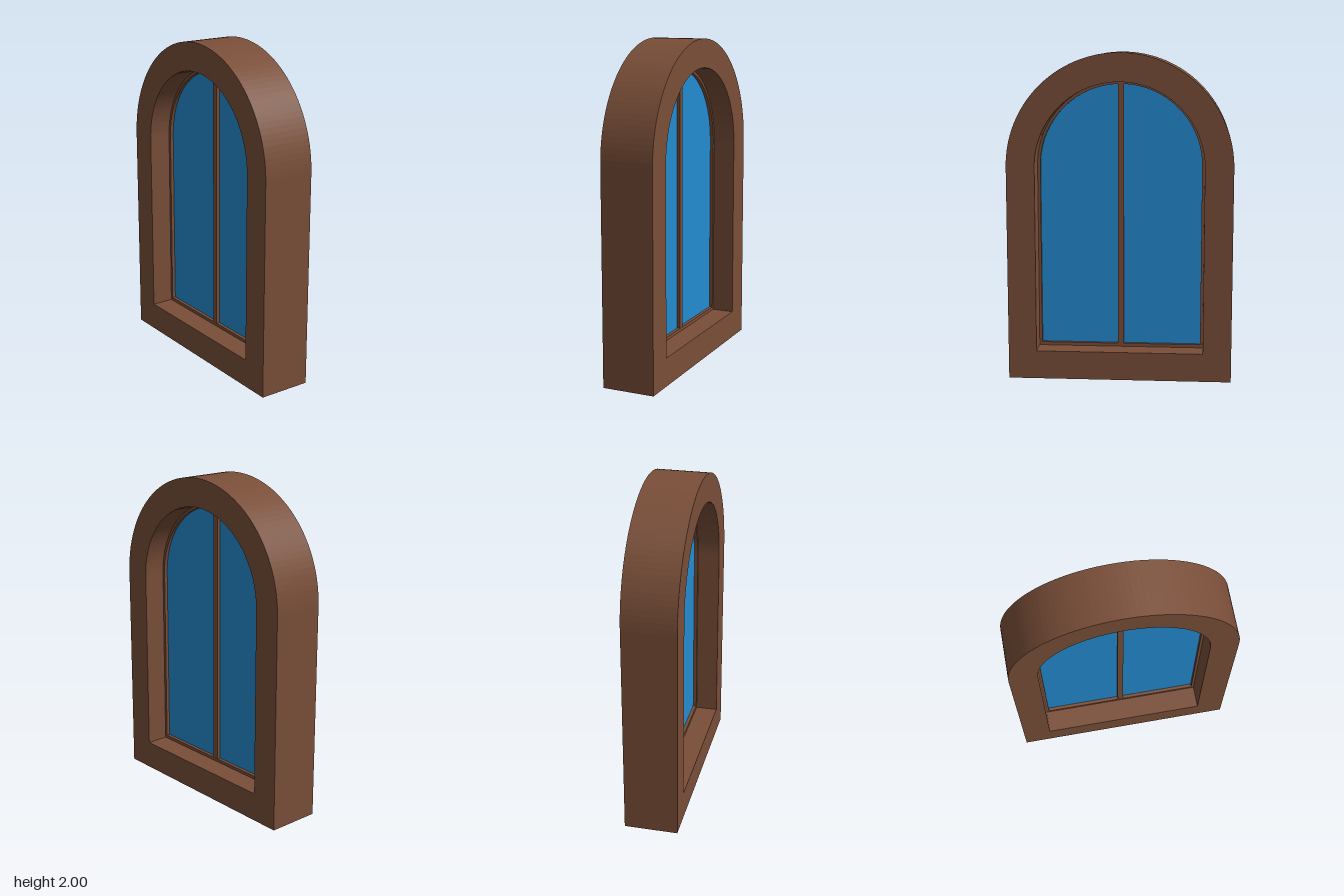
import * as THREE from 'three';

const SPRING = 1.315; // height where the arches begin

// Closed outline: straight sides topped by a half circle
function archPoints(halfWidth, bottom) {
  const shape = new THREE.Shape();
  shape.moveTo(-halfWidth, bottom);
  shape.lineTo(halfWidth, bottom);
  shape.lineTo(halfWidth, SPRING);
  shape.absarc(0, SPRING, halfWidth, 0, Math.PI, false);
  shape.closePath();
  return shape;
}

// Extrude an arch, optionally with an arched opening, centred on z = 0
function archMesh(name, material, depth, outer, inner) {
  const shape = archPoints(...outer);
  if (inner) shape.holes.push(archPoints(...inner));
  const geometry = new THREE.ExtrudeGeometry(shape, { depth, bevelEnabled: false, curveSegments: 32 });
  geometry.translate(0, 0, -depth / 2);
  const mesh = new THREE.Mesh(geometry, material);
  mesh.name = name;
  return mesh;
}

export function createModel() {
  const wood = new THREE.MeshStandardMaterial({ color: 0x794e38 });
  wood.name = 'brown wood';
  const glass = new THREE.MeshStandardMaterial({ color: 0x248bd1 });
  glass.name = 'blue glass';

  const model = new THREE.Group();
  model.name = 'archedWindow';

  // Deep outer surround and the slim sash set midway inside it
  model.add(archMesh('outerFrame', wood, 0.326, [0.685, 0], [0.512, 0.175]));
  model.add(archMesh('innerSash', wood, 0.05, [0.513, 0.174], [0.495, 0.195]));

  // Thin pane, visible from both sides
  model.add(archMesh('glassPane', glass, 0.008, [0.497, 0.193]));

  // Central upright dividing the pane
  const bottom = 0.19, top = 1.815;
  const mullion = new THREE.Mesh(new THREE.BoxGeometry(0.036, top - bottom, 0.048), wood);
  mullion.position.y = (top + bottom) / 2;
  mullion.name = 'mullion';
  model.add(mullion);

  return model;
}
